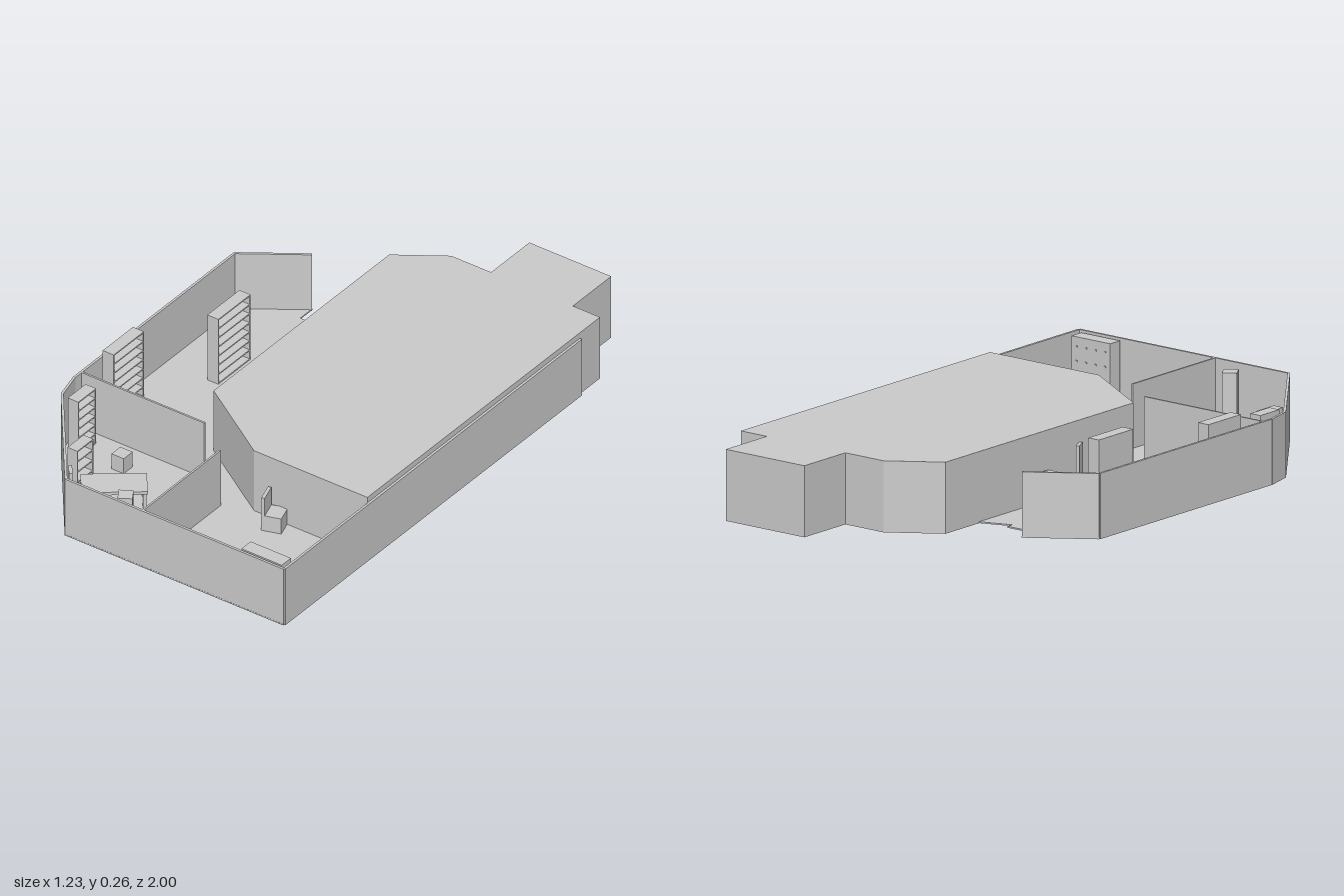
import * as THREE from 'three';

const mat = new THREE.MeshStandardMaterial({ color: 0xcccccc, side: THREE.DoubleSide, flatShading: true });

function mesh(geo, name) {
  const m = new THREE.Mesh(geo, mat);
  m.name = name;
  return m;
}

// Extrude a plan outline given as [x, z] points upward from y0 to y1
function slab(points, y0, y1, name) {
  const shape = new THREE.Shape(points.map(([x, z]) => new THREE.Vector2(x, -z)));
  const geo = new THREE.ExtrudeGeometry(shape, { depth: y1 - y0, bevelEnabled: false });
  geo.rotateX(-Math.PI / 2).translate(0, y0, 0);
  return mesh(geo, name);
}

// Box standing at height y, centred on x, z, turned by angle
function box(name, x, z, w, h, d, y = 0.005, angle = 0) {
  const m = mesh(new THREE.BoxGeometry(w, h, d), name);
  m.position.set(x, y + h / 2, z);
  m.rotation.y = angle;
  return m;
}

// Straight wall between two plan points
function wall(name, [x0, z0], [x1, z1], h, t) {
  const dx = x1 - x0, dz = z1 - z0;
  return box(name, (x0 + x1) / 2, (z0 + z1) / 2, Math.hypot(dx, dz), h, t, 0, -Math.atan2(dz, dx));
}

// Open bookcase along z, with its open side toward +x
function bookcase(name, x, z, w, h, d, levels) {
  const g = new THREE.Group();
  const t = 0.005;
  g.name = name;
  g.add(box('back', -w / 2 + t / 2, 0, t, h, d));
  for (const s of [-1, 1]) g.add(box('side', 0, s * (d - t) / 2, w, h, t));
  for (let i = 0; i <= levels; i++) g.add(box('shelf', 0, 0, w, t, d, 0.005 + (h - t) * i / levels));
  g.position.set(x, 0, z);
  return g;
}

// Seat block with an upright back
function chair(x, z, angle, w = 0.07) {
  const g = new THREE.Group();
  g.name = 'chair';
  g.add(box('seat', 0, 0, w, 0.06, w));
  g.add(box('chairBack', -w / 2 + 0.006, 0, 0.012, 0.13, w));
  g.position.set(x, 0, z);
  g.rotation.y = angle;
  return g;
}

export function createModel() {
  const root = new THREE.Group();
  root.name = 'building';

  // Floor with a ragged edge at the open back
  root.add(slab([
    [-0.612, -0.4], [-0.4, -0.548], [-0.4, -0.48], [-0.285, -0.48], [-0.285, -0.455], [-0.17, -0.495],
    [0.61, -0.495], [0.61, 1], [-0.285, 1], [-0.59, 0.6], [-0.614, 0.5],
  ], 0, 0.005, 'floor'));

  // Closed hall and its rear extension
  root.add(slab([
    [-0.175, -0.67], [-0.005, -0.785], [0.158, -0.785], [0.158, -1], [0.493, -1], [0.493, -0.785],
    [0.604, -0.785], [0.604, 0.52], [0.14, 0.52], [-0.175, 0.315],
  ], 0, 0.245, 'hall'));

  // Outer walls
  const H = 0.225;
  const path = [[0.61, -0.67], [0.61, 0.995], [-0.283, 0.995], [-0.587, 0.6], [-0.611, 0.5], [-0.611, -0.4], [-0.4, -0.545]];
  for (let i = 0; i < path.length - 1; i++) root.add(wall('outerWall', path[i], path[i + 1], H, 0.009));

  // Inner partitions
  root.add(wall('partition', [-0.611, 0.46], [-0.105, 0.46], H, 0.007));
  root.add(wall('partition', [0.03, 0.56], [0.03, 0.995], H, 0.007));

  // Bookcases
  root.add(bookcase('bookcase', -0.413, -0.097, 0.045, 0.26, 0.18, 7));
  root.add(bookcase('bookcase', -0.57, 0.28, 0.045, 0.26, 0.17, 7));
  root.add(bookcase('smallBookcase', -0.535, 0.56, 0.043, 0.22, 0.1, 6));
  root.add(bookcase('rack', -0.41, 0.74, 0.04, 0.17, 0.09, 4));

  // Wide cabinet with rows of knobs
  const cabinet = new THREE.Group();
  cabinet.name = 'cabinet';
  cabinet.add(box('cabinetBody', 0.505, 0.952, 0.165, 0.215, 0.052));
  for (let r = 0; r < 4; r++) {
    for (let c = 0; c < 4; c++) {
      cabinet.add(box('knob', 0.445 + c * 0.04, 0.925, 0.008, 0.005, 0.004, 0.035 + r * 0.05));
    }
  }
  root.add(cabinet);

  // Tall narrow cabinet
  root.add(box('tallCabinet', -0.083, 0.935, 0.05, 0.205, 0.05, 0.005, 0.55));

  // Front office desk, chair and boxes
  const desk = new THREE.Group();
  desk.name = 'desk';
  desk.add(box('deskTop', 0, 0, 0.22, 0.012, 0.11, 0.068));
  for (const s of [-1, 1]) desk.add(box('deskSide', s * 0.1, 0, 0.012, 0.065, 0.1));
  desk.position.set(-0.265, 0, 0.75);
  desk.rotation.y = 0.66;
  root.add(desk);
  root.add(chair(-0.365, 0.825, 0.66, 0.05));
  root.add(box('stool', -0.36, 0.575, 0.05, 0.06, 0.05));
  root.add(box('lowChest', -0.24, 0.932, 0.085, 0.07, 0.055, 0.005, -0.5));

  // Chair against the hall front
  root.add(chair(0.25, 0.555, 0.3));

  // Rear office desk with its small items
  root.add(box('rearDesk', -0.218, -0.113, 0.085, 0.07, 0.1));
  root.add(box('deskBox', -0.2, -0.155, 0.04, 0.035, 0.035, 0.075));
  root.add(box('stool', -0.32, -0.155, 0.035, 0.05, 0.03));
  root.add(box('chairSeat', -0.195, 0, 0.035, 0.06, 0.05, 0.005, 0.45));
  root.add(box('chairBack', -0.192, 0.01, 0.012, 0.165, 0.05, 0.005, 0.45));

  return root;
}
